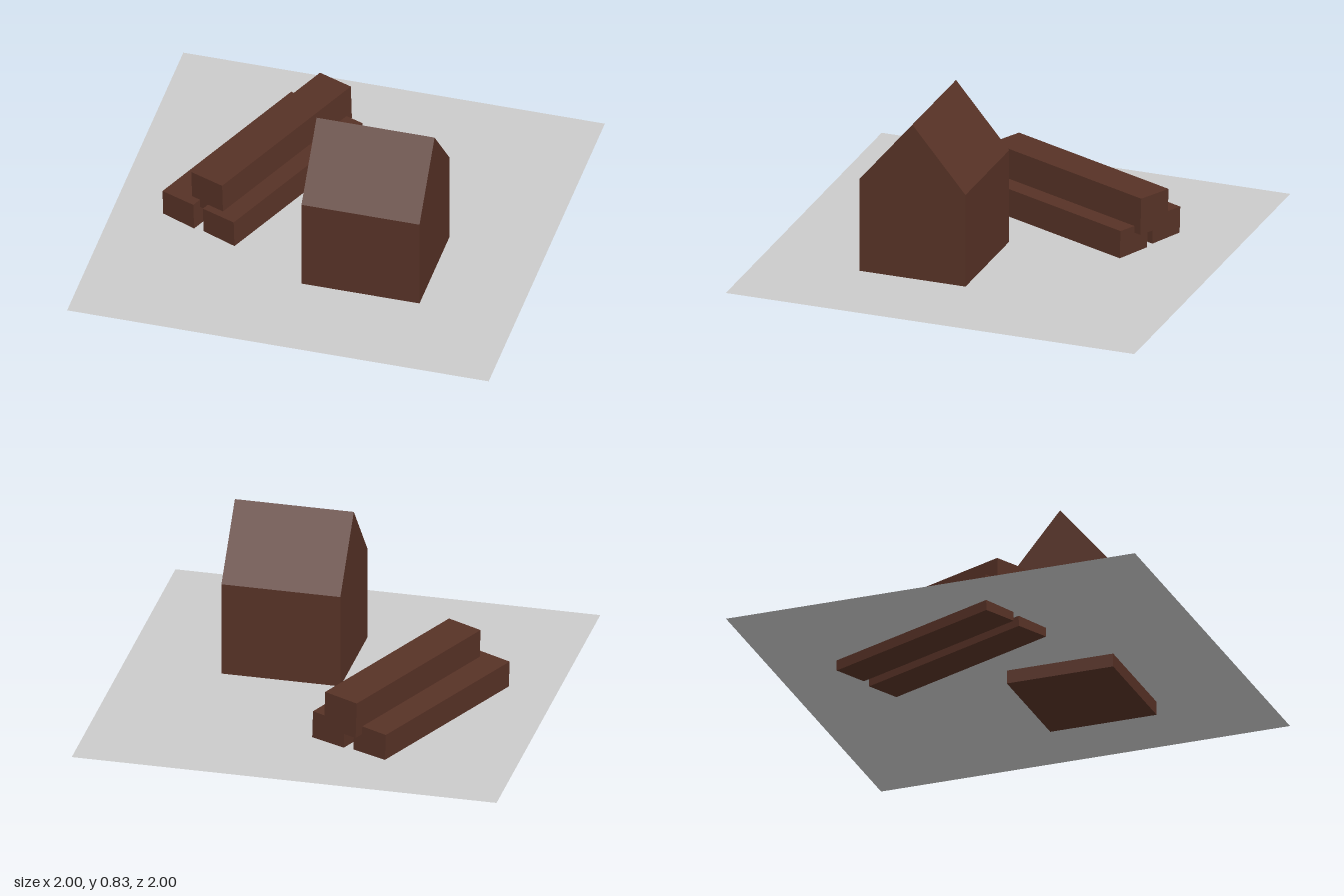
import * as THREE from 'three';

export function createModel() {
  const model = new THREE.Group();
  const brown = new THREE.MeshStandardMaterial({ color: 0x573226, flatShading: true });
  const grey = new THREE.MeshStandardMaterial({ color: 0xcccccc, side: THREE.DoubleSide });

  const add = (name, geometry, material) => {
    const mesh = new THREE.Mesh(geometry, material);
    mesh.name = name;
    model.add(mesh);
    return mesh;
  };

  // Flat ground sheet; the house and lower beams sink slightly through it
  const ground = add('ground', new THREE.PlaneGeometry(2, 2).rotateX(-Math.PI / 2), grey);
  ground.position.y = 0.065;

  // House: gabled outline extruded along x, ridge parallel to x
  const width = 0.56, halfDepth = 0.26, eaves = 0.52, ridge = 0.83;
  const gable = new THREE.Shape([
    new THREE.Vector2(-halfDepth, 0),
    new THREE.Vector2(halfDepth, 0),
    new THREE.Vector2(halfDepth, eaves),
    new THREE.Vector2(0, ridge),
    new THREE.Vector2(-halfDepth, eaves),
  ]);
  const houseGeometry = new THREE.ExtrudeGeometry(gable, { depth: width, bevelEnabled: false });
  houseGeometry.translate(0, 0, -width / 2).rotateY(Math.PI / 2);
  const house = add('house', houseGeometry, brown);
  house.position.set(0.26, 0, 0.262);

  // Stack of three beams, two below and one on top, rolled a little
  const beamGeometry = new THREE.BoxGeometry(0.18, 0.178, 0.948);
  const beams = [
    ['lowerBeamRight', -0.502, 0.107, -0.217],
    ['lowerBeamLeft', -0.289, 0.107, -0.139],
    ['upperBeam', -0.364, 0.249, -0.212],
  ];
  for (const [name, x, y, z] of beams) {
    const beam = add(name, beamGeometry, brown);
    beam.position.set(x, y, z);
    beam.rotation.set(0, -0.401, 0.035);
  }

  return model;
}
